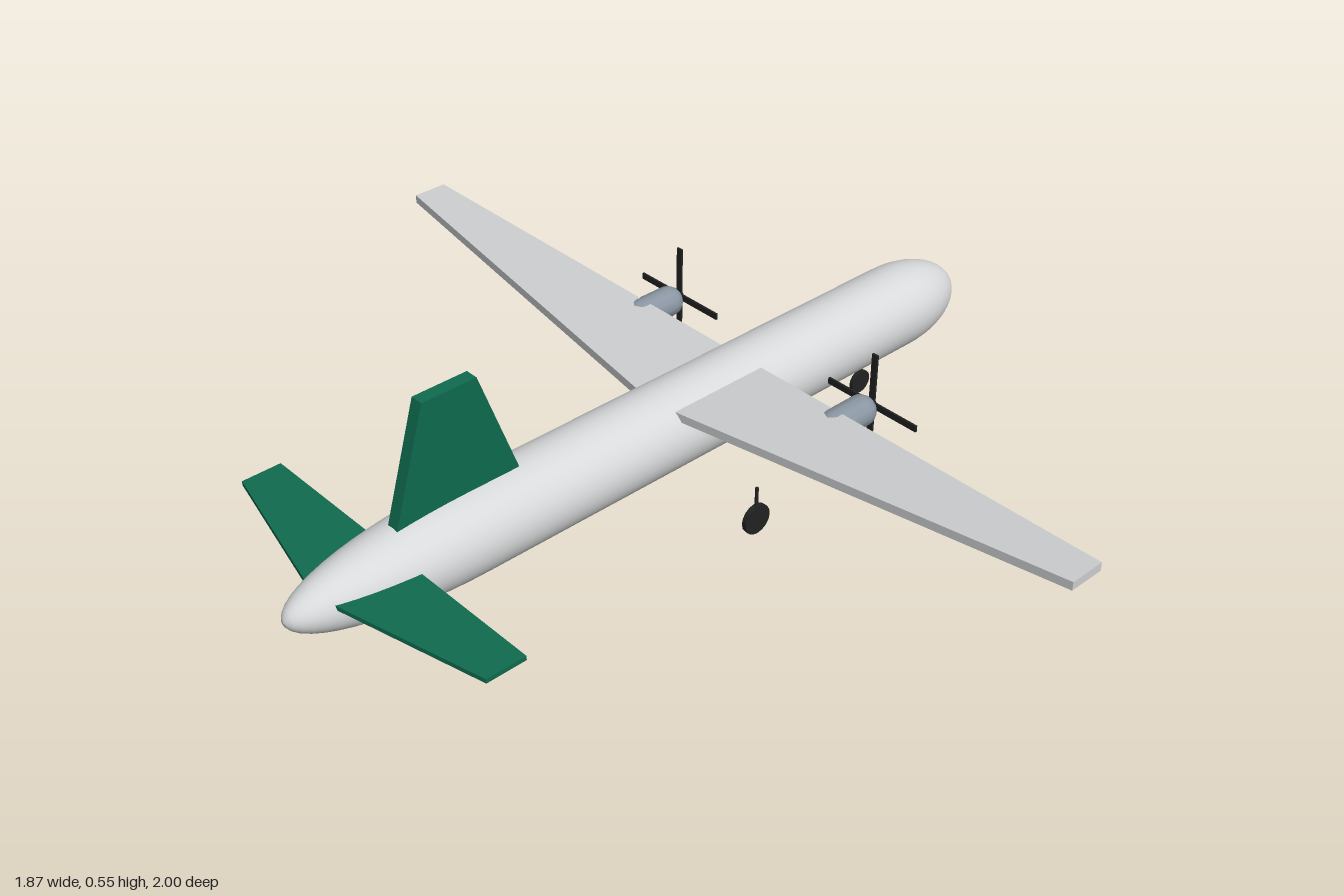
import * as THREE from 'three';

const mat = (name, color) => {
  const m = new THREE.MeshStandardMaterial({ color });
  m.name = name;
  return m;
};

export function createModel() {
  const hullGrey = mat('hull grey', 0xd8d9da);
  const wingGrey = mat('wing grey', 0xcccecf);
  const green = mat('tail green', 0x0f6b4f);
  const engineGrey = mat('engine grey', 0x8a96a2);
  const black = mat('black', 0x222222);

  const model = new THREE.Group();
  model.name = 'propellerAircraft';

  const add = (name, geometry, material, x = 0, y = 0, z = 0, parent = model) => {
    const mesh = new THREE.Mesh(geometry, material);
    mesh.name = name;
    mesh.position.set(x, y, z);
    parent.add(mesh);
    return mesh;
  };

  // Tapered flat panel from a root section at z = 0 to a tip section at z = side * span
  const panel = (side, span, thickness, root, tip) => {
    const g = new THREE.BoxGeometry(1, 1, 1);
    const p = g.attributes.position;
    const mix = THREE.MathUtils.lerp;
    for (let i = 0; i < p.count; i++) {
      const t = side * p.getZ(i) + 0.5;
      const back = mix(root.back, tip.back, t);
      const front = mix(root.front, tip.front, t);
      p.setXYZ(i,
        mix(back, front, p.getX(i) + 0.5),
        mix(root.y, tip.y, t) + p.getY(i) * thickness,
        side * span * t);
    }
    g.computeVertexNormals();
    return g;
  };

  // Fuselage: long elliptical tail, straight tube, short elliptical nose
  const radius = 0.0975, tailStart = -0.505, tailLength = 0.433, noseStart = 0.745, noseLength = 0.19;
  const profile = [];
  const steps = 14;
  for (let i = 0; i <= steps; i++) {
    const a = (i / steps) * Math.PI / 2;
    profile.push(new THREE.Vector2(radius * Math.sin(a), tailStart - tailLength * Math.cos(a)));
  }
  for (let i = 0; i <= steps; i++) {
    const a = (i / steps) * Math.PI / 2;
    profile.push(new THREE.Vector2(radius * Math.cos(a), noseStart + noseLength * Math.sin(a)));
  }
  add('fuselage', new THREE.LatheGeometry(profile, 40).rotateZ(-Math.PI / 2), hullGrey, 0, 0.2, 0);

  // Tail fin
  const finShape = new THREE.Shape([
    [-0.69, 0.25], [-0.362, 0.25], [-0.47, 0.55], [-0.6, 0.55],
  ].map(([x, y]) => new THREE.Vector2(x, y)));
  add('tailFin', new THREE.ExtrudeGeometry(finShape, { depth: 0.03, bevelEnabled: false })
    .translate(0, 0, -0.015), green);

  // Wheel on a thin strut
  const landingGear = (name, x, z, r, width, top) => {
    const gear = new THREE.Group();
    gear.name = name;
    gear.position.set(x, 0, z);
    model.add(gear);
    add('wheel', new THREE.CylinderGeometry(r, r, width, 16).rotateX(Math.PI / 2), black, 0, r + 0.002, 0, gear);
    add('strut', new THREE.CylinderGeometry(0.004, 0.004, top - r, 8), black, 0, (top + r) / 2, 0, gear);
  };
  landingGear('noseGear', 0.655, 0, 0.029, 0.01, 0.13);

  for (const [side, label] of [[1, 'right'], [-1, 'left']]) {
    // Wing with slight dihedral, and tailplane
    add(label + 'Wing', panel(side, 1, 0.02,
      { back: -0.006, front: 0.258, y: 0.262 }, { back: 0.12, front: 0.205, y: 0.313 }), wingGrey);
    add(label + 'Tailplane', panel(side, 0.4, 0.01,
      { back: -0.865, front: -0.677, y: 0.222 }, { back: -0.77, front: -0.677, y: 0.222 }), green);

    // Engine with a four-bladed propeller
    const engine = new THREE.Group();
    engine.name = label + 'Engine';
    engine.position.set(0.27, 0.256, side * 0.3);
    model.add(engine);
    add('nacelle', new THREE.CapsuleGeometry(0.036, 0.085, 6, 12).rotateZ(-Math.PI / 2), engineGrey, 0, 0, 0, engine);
    add('propellerHub', new THREE.CylinderGeometry(0.012, 0.012, 0.014, 12).rotateZ(-Math.PI / 2), black, 0.077, 0, 0, engine);
    add('verticalBlades', new THREE.BoxGeometry(0.005, 0.25, 0.015), black, 0.08, 0, 0, engine);
    add('horizontalBlades', new THREE.BoxGeometry(0.005, 0.015, 0.25), black, 0.08, 0, 0, engine);

    landingGear(label + 'MainGear', 0.092, side * 0.22, 0.036, 0.012, 0.12);
  }
  return model;
}
